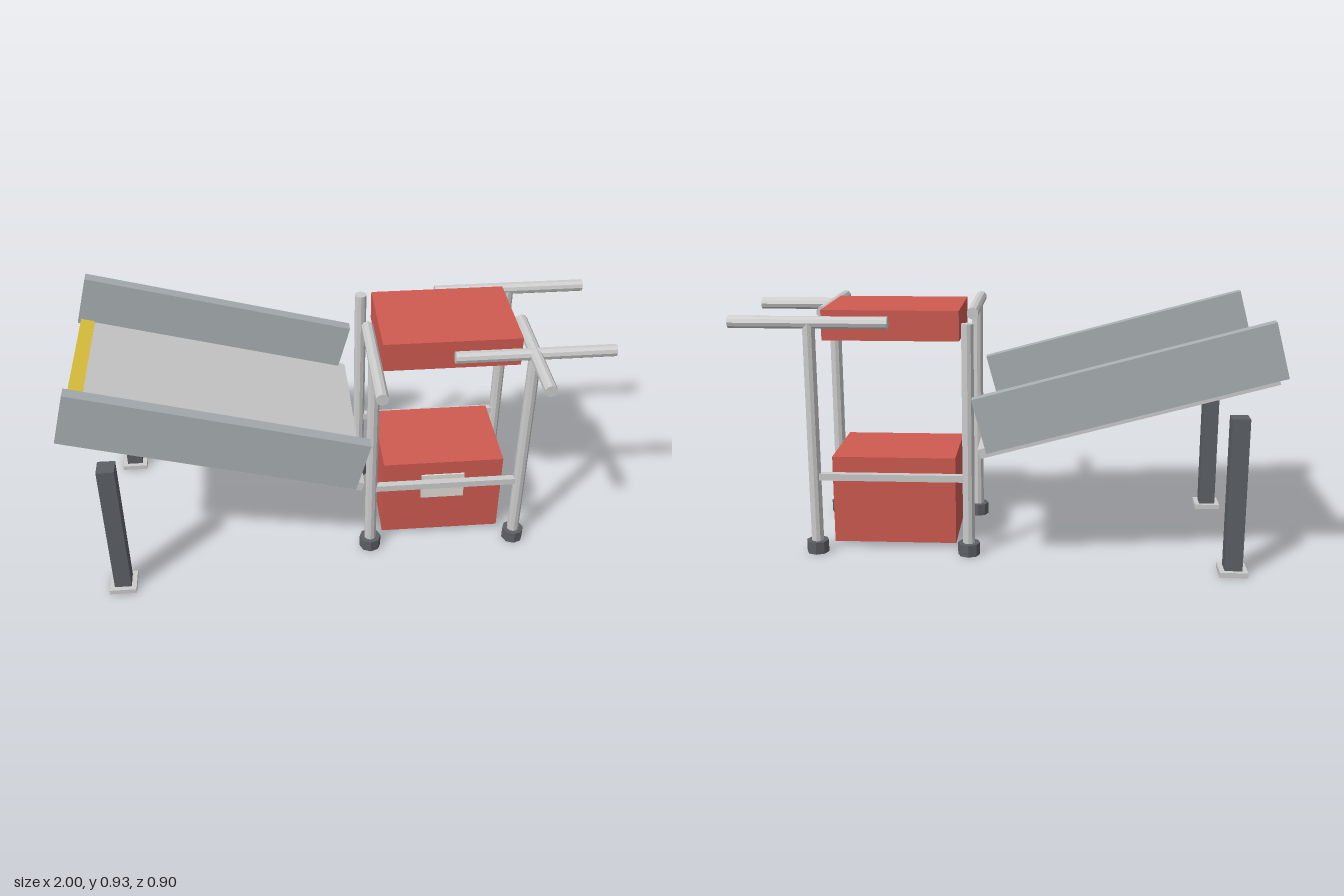
import * as THREE from 'three';

const paint = (color) => new THREE.MeshStandardMaterial({ color, flatShading: true });

export function createModel() {
  const model = new THREE.Group();
  model.name = 'chuteAndStand';
  const grey = paint(0xcccccc);
  const dark = paint(0x5c6066);
  const panelGrey = paint(0xa9b0b3);
  const red = paint(0xcf5a50);
  const yellow = paint(0xe0c43c);
  const pale = paint(0xdcdcd4);

  // box given by its min and max along each axis
  function box(name, [x0, x1], [y0, y1], [z0, z1], material, parent = model) {
    const mesh = new THREE.Mesh(new THREE.BoxGeometry(x1 - x0, y1 - y0, z1 - z0), material);
    mesh.position.set((x0 + x1) / 2, (y0 + y1) / 2, (z0 + z1) / 2);
    mesh.name = name;
    parent.add(mesh);
    return mesh;
  }

  // low-poly rod centred on a point, along the given axis
  function rod(name, axis, length, radius, sides, [x, y, z], material) {
    const geometry = new THREE.CylinderGeometry(radius, radius, length, sides);
    if (axis === 'x') geometry.rotateZ(Math.PI / 2);
    if (axis === 'z') geometry.rotateX(Math.PI / 2);
    const mesh = new THREE.Mesh(geometry, material);
    mesh.position.set(x, y, z);
    mesh.name = name;
    model.add(mesh);
  }

  // Sloping chute: bed, side walls and the strip across its high end
  const chute = new THREE.Group();
  chute.name = 'chute';
  chute.position.set(-0.45, 0.689, -0.021);
  chute.rotation.z = -THREE.MathUtils.degToRad(15.2);
  model.add(chute);
  box('chuteBed', [-0.512, 0.571], [-0.12, -0.085], [-0.394, 0.394], grey, chute);
  box('edgeStrip', [-0.53, -0.475], [-0.108, -0.08], [-0.371, 0.371], yellow, chute);
  box('leftWall', [-0.541, 0.541], [-0.101, 0.101], [0.371, 0.417], panelGrey, chute);
  box('rightWall', [-0.541, 0.541], [-0.101, 0.101], [-0.417, -0.371], panelGrey, chute);

  // Posts and foot plates under the high end
  for (const z of [0.356, -0.396]) {
    box('chutePost', [-0.878, -0.814], [0, 0.585], [z - 0.033, z + 0.033], dark);
    box('postPlate', [-0.897, -0.795], [0.001, 0.02], [z - 0.051, z + 0.051], grey);
  }

  // Pipe stand: four legs with rubber feet
  const xs = [0.125, 0.705];
  const zs = [0.214, -0.257];
  const barY = 0.885;
  for (const x of xs) {
    for (const z of zs) {
      rod('standLeg', 'y', barY, 0.023, 10, [x, barY / 2, z], grey);
      rod('legFoot', 'y', 0.047, 0.042, 8, [x, 0.0235, z], dark);
    }
    // top bars running front to back
    rod('crossBar', 'z', 0.47, 0.023, 10, [x, barY, zs[0]], grey);
  }
  for (const z of zs) {
    // top bars running sideways, and the thin lower rails
    rod('sideBar', 'x', 0.585, 0.023, 10, [0.7075, barY, z], grey);
    box('lowerRail', xs, [0.287, 0.313], [z - 0.013, z + 0.013], grey);
  }

  // Cabinet with its front plate, and the block on top
  box('cabinet', [0.18, 0.65], [0.02, 0.36], [-0.2, 0.158], red);
  box('frontPlate', [0.33, 0.5], [0.19, 0.302], [0.15, 0.165], pale);
  box('topBlock', [0.16, 0.67], [0.81, 0.923], [-0.208, 0.168], red);

  return model;
}
